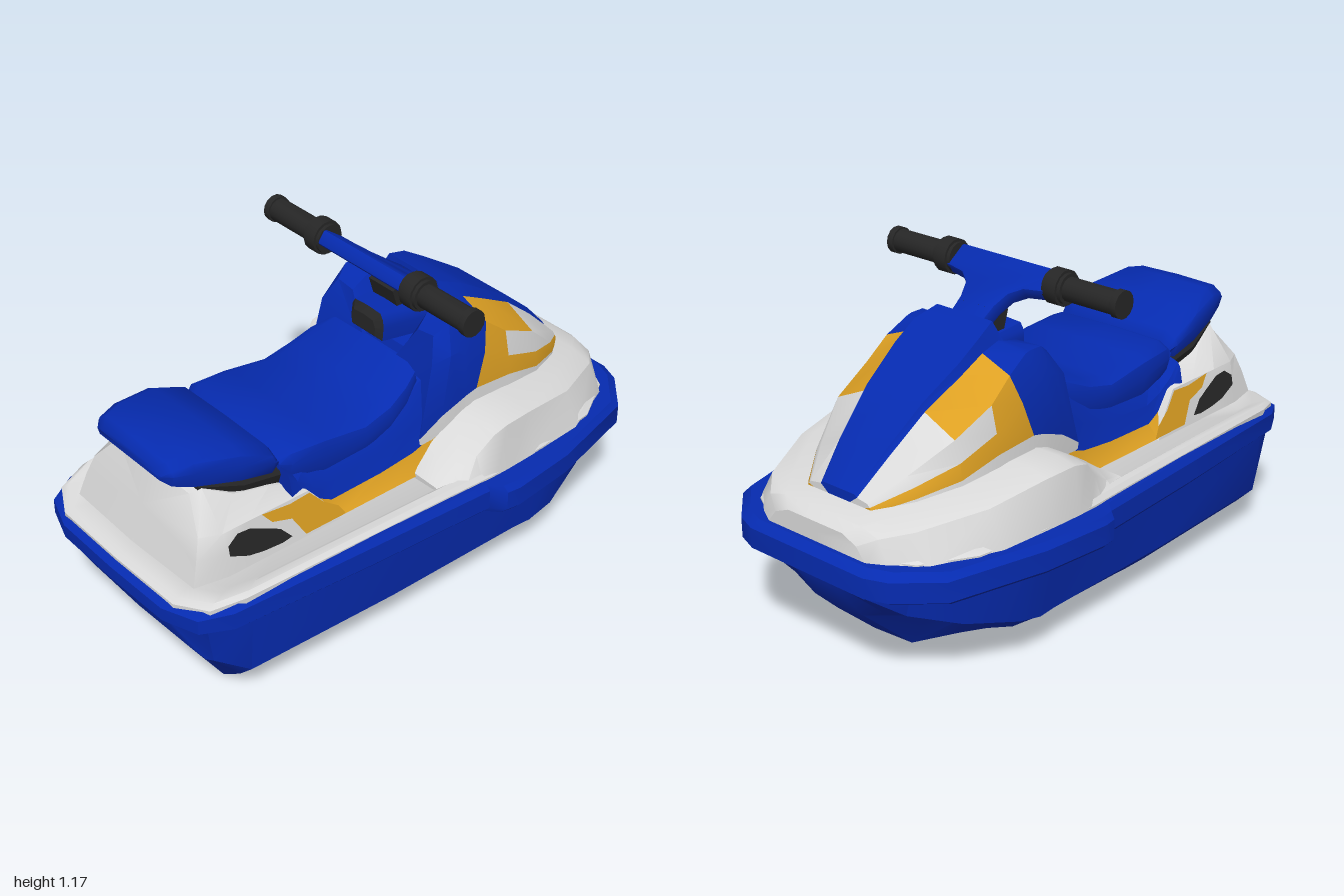
import * as THREE from 'three';
import { toCreasedNormals } from 'three/addons/utils/BufferGeometryUtils.js';

const paint = (name, color) => Object.assign(new THREE.MeshStandardMaterial({ color }), { name });

export function createModel() {
  const model = new THREE.Group();
  model.name = 'waterScooter';
  const blue = paint('blue', 0x062bb0);
  const white = paint('white', 0xdadada);
  const yellow = paint('yellow', 0xdda023);
  const black = paint('black', 0x262626);

  const add = (name, geometry, material) => {
    const mesh = new THREE.Mesh(geometry, material);
    mesh.name = name;
    model.add(mesh);
    return mesh;
  };

  // Skins half cross-sections (first and last point on x = 0), mirrored and capped.
  // pick(section, strip) chooses the material of each panel.
  function loft(name, halves, mats, pick = () => 0, crease = 0.6) {
    const n = halves[0].length - 1;
    const rings = halves.map(h => [...h, ...h.slice(1, -1).reverse().map(([x, y, z]) => [-x, y, z])]);
    const faces = mats.map(() => []);
    const strip = k => (k < n ? k : 2 * n - 1 - k);
    for (let i = 0; i < rings.length - 1; i++) {
      for (let k = 0; k < 2 * n; k++) {
        const l = (k + 1) % (2 * n), a = rings[i], b = rings[i + 1];
        faces[pick(i, strip(k))].push([a[k], a[l], b[l]], [a[k], b[l], b[k]]);
      }
    }
    for (const i of [0, rings.length - 1]) {
      const r = rings[i], c = r[0].map((v, d) => (v + r[n][d]) / 2);
      for (let k = 0; k < 2 * n; k++) {
        const l = (k + 1) % (2 * n);
        faces[pick(Math.min(i, rings.length - 2), strip(k))].push(i ? [r[k], r[l], c] : [r[l], r[k], c]);
      }
    }
    // Turn the skin outward if the rings run the other way
    const vec = p => new THREE.Vector3(...p);
    let volume = 0;
    for (const [a, b, c] of faces.flat()) volume += vec(a).dot(vec(b).cross(vec(c)));
    const geometry = new THREE.BufferGeometry();
    const data = [];
    faces.forEach((list, m) => {
      if (list.length) geometry.addGroup(data.length / 3, list.length * 3, m);
      for (const [a, b, c] of list) data.push(...(volume < 0 ? [a, c, b] : [a, b, c]).flat());
    });
    geometry.setAttribute('position', new THREE.Float32BufferAttribute(data, 3));
    return add(name, toCreasedNormals(geometry, crease), mats);
  }

  // Stacks one plan outline at several [height, scale] levels, its top edge dipping at the stern
  const stack = (outline, levels) => levels.map(([y, s]) =>
    outline.map(([x, z]) => [x * s, y - Math.max(0, z - 0.75) * (y - 0.34) * 1.3, z * s]));
  const at = (z, pts) => pts.map(([x, y]) => [x, y, z]);

  // Hull: top edge, chine, inner and bottom points; a narrow keel nose hangs below the undercut bow
  const hullRows = [
    [-0.95, 0.18, [0.16, 0.325], [0.11, 0.33], [0.07, 0.33], 0.33],
    [-0.87, 0.33, [0.3, 0.27], [0.2, 0.245], [0.11, 0.2], 0.19],
    [-0.72, 0.43, [0.4, 0.215], [0.25, 0.19], [0.17, 0.06], 0.05],
    [-0.53, 0.49, [0.46, 0.165], [0.29, 0.14], [0.2, 0.025], 0.015],
    [-0.43, 0.49, [0.46, 0.14], [0.33, 0.09], [0.23, 0.01], 0],
    [-0.36, 0.49, [0.455, 0.14], [0.37, 0.07], [0.28, 0.005], 0],
    [0.2, 0.475, [0.455, 0.14], [0.385, 0.07], [0.31, 0.005], 0],
    [0.78, 0.455, [0.435, 0.14], [0.37, 0.075], [0.28, 0.01], 0.003],
  ].map(([z, top, chine, inner, bottom, keel]) => at(z, [[0, 0.38], [top, 0.38], chine, inner, bottom, [0, keel]]));
  hullRows.push([[0, 0.38, 0.93], [0.4, 0.38, 0.92], [0.38, 0.2, 0.885], [0.345, 0.185, 0.89], [0.28, 0.185, 0.895], [0, 0.19, 0.905]]);
  loft('hull', hullRows, [blue]);

  // Bumper rail around the waterline
  const railOutline = [[0, -1], [0.25, -1], [0.33, -0.97], [0.46, -0.85], [0.55, -0.5], [0.577, -0.25],
    [0.57, -0.2], [0.525, -0.16], [0.5, 0.3], [0.455, 0.85], [0.4, 0.95], [0.27, 0.995], [0, 1]];
  loft('bumperRail', stack(railOutline, [[0.345, 0.965], [0.365, 1], [0.435, 1], [0.457, 0.97]]), [blue]);

  // Deck with a raised gunwale and shallow footwells
  const deckOutline = [[0, -0.95], [0.22, -0.94], [0.35, -0.87], [0.45, -0.7], [0.485, -0.45], [0.495, -0.2],
    [0.485, 0], [0.45, 0.8], [0.41, 0.91], [0.3, 0.97], [0, 0.975]];
  loft('deck', stack(deckOutline, [[0.43, 1], [0.462, 1], [0.478, 0.975], [0.478, 0.92], [0.46, 0.87]]), [white]);

  // Front cowl, ramping up from the footwells
  const cowl = [
    [-0.955, 0.12, 0.525, 0.18, 0.5, 0.22],
    [-0.92, 0.17, 0.55, 0.24, 0.53, 0.28],
    [-0.84, 0.23, 0.57, 0.32, 0.55, 0.38],
    [-0.62, 0.36, 0.605, 0.42, 0.58, 0.475],
    [-0.4, 0.39, 0.63, 0.455, 0.61, 0.49],
    [-0.28, 0.4, 0.635, 0.472, 0.62, 0.495],
    [-0.22, 0.39, 0.615, 0.472, 0.605, 0.495],
    [-0.16, 0.365, 0.58, 0.455, 0.54, 0.49],
    [-0.08, 0.345, 0.53, 0.44, 0.49, 0.488],
    [0, 0.33, 0.475, 0.43, 0.473, 0.485],
  ].map(([z, ix, iy, ox, oy, bx]) => at(z, [[0, iy], [ix, iy], [ox, oy], [bx, 0.45], [0, 0.45]]));
  loft('frontCowl', cowl, [white]);

  // Hood: panel, inner, shoulder, mid, low and base points; slant leans a section backward at its foot
  const hood = [
    [-0.15, [0.1, 0.8], [0.165, 0.9], [0.24, 0.91], [0.28, 0.83], [0.295, 0.57], 0.29, 0.1],
    [-0.2, [0.1, 0.81], [0.155, 0.94], [0.26, 0.945], [0.3, 0.85], [0.305, 0.63], 0.3, 0.06],
    [-0.255, [0.1, 0.83], [0.15, 0.95], [0.26, 0.945], [0.3, 0.85], [0.31, 0.66], 0.31, 0.04],
    [-0.275, [0.12, 1.015], [0.145, 0.955], [0.26, 0.94], [0.3, 0.85], [0.31, 0.67], 0.31, 0.03],
    [-0.36, [0.14, 0.985], [0.155, 0.94], [0.27, 0.895], [0.3, 0.8], [0.31, 0.68], 0.32, 0.07],
    [-0.45, [0.14, 0.93], [0.153, 0.895], [0.275, 0.825], [0.296, 0.735], [0.305, 0.665], 0.32, 0],
    [-0.6, [0.12, 0.835], [0.132, 0.81], [0.258, 0.752], [0.28, 0.68], [0.288, 0.625], 0.3, 0],
    [-0.74, [0.095, 0.715], [0.107, 0.695], [0.19, 0.66], [0.216, 0.628], [0.228, 0.595], 0.24, 0],
    [-0.85, [0.07, 0.6], [0.08, 0.592], [0.125, 0.585], [0.135, 0.575], [0.145, 0.56], 0.15, 0],
  ].map(([z, p, i, s, m, l, b, slant]) => [
    ...at(z, [[0, p[1]], p, i, s]), [...m, z + slant * 0.4], ...at(z + slant, [l, [b, 0.46], [0, 0.46]])]);
  loft('hood', hood, [blue, white, yellow], (i, j) => {
    if (j < 2) return 0;
    if (j > 4) return 1;
    if (i < 4) return 0;
    if (j === 2) return i < 6 ? 2 : 1;
    if (j === 3) return i < 5 ? 2 : 1;
    return 2;
  });

  // Saddle base: blue sides sweeping down to a yellow sill
  const saddle = [
    [-0.2, 0.78, 0.62], [-0.1, 0.76, 0.555], [-0.02, 0.72, 0.53], [0.12, 0.66, 0.515],
    [0.33, 0.64, 0.51], [0.4, 0.65, 0.55], [0.46, 0.66, 0.62], [0.5, 0.7, 0.67],
  ].map(([z, top, seam]) => at(z, [[0, top], [0.24, top], [0.285, (top + seam) / 2], [0.295, seam], [0.335, 0.465], [0, 0.46]]));
  loft('saddleBase', saddle, [blue, yellow], (i, j) => (j === 3 && i < 5 ? 1 : 0));

  // Tail body, its front edge leaning with the saddle
  const tailRow = (top, w, zs) => [[0, top], [w, top], [0.312, 0.61], [0.325, 0.54], [0.34, 0.46], [0, 0.46]]
    .map(([x, y], k) => [x, y, zs[k]]);
  loft('tailBody', [
    tailRow(0.62, 0.25, [0.47, 0.47, 0.44, 0.38, 0.33, 0.33]),
    tailRow(0.645, 0.25, Array(6).fill(0.55)),
    tailRow(0.675, 0.24, Array(6).fill(0.68)),
    tailRow(0.73, 0.215, Array(6).fill(0.78)),
    [[0, 0.715, 0.815], [0.19, 0.71, 0.81], [0.28, 0.61, 0.85], [0.3, 0.54, 0.875], [0.315, 0.46, 0.9], [0, 0.46, 0.91]],
  ], [white]);

  // Flashes and vents lying on the tail flanks, drawn as [z, y]
  const decals = [
    ['flash', yellow, 0.344, [[0.63, 0.612], [0.595, 0.57], [0.52, 0.548], [0.475, 0.472], [0.31, 0.472], [0.335, 0.512],
      [0.39, 0.55], [0.44, 0.605], [0.52, 0.6]]],
    ['vent', black, 0.346, [[0.77, 0.565], [0.73, 0.592], [0.68, 0.588], [0.62, 0.56], [0.57, 0.535], [0.53, 0.49],
      [0.57, 0.485], [0.64, 0.49], [0.7, 0.5], [0.77, 0.53]]],
  ];
  for (const [name, material, foot, outline] of decals) {
    for (const side of [1, -1]) {
      const points = outline.map(([z, y]) => new THREE.Vector2(-side * z, y));
      const plate = new THREE.ShapeGeometry(new THREE.Shape(points));
      const pos = plate.attributes.position;
      for (let i = 0; i < pos.count; i++) {
        const y = pos.getY(i);
        pos.setXYZ(i, side * (foot - (y - 0.46) * 0.185), y, -side * pos.getX(i));
      }
      plate.computeVertexNormals();
      add(side > 0 ? `${name}Left` : `${name}Right`, plate, material);
    }
  }

  // Seat cushions
  const pad = ([z, w, top, bot]) => at(z, [[0, top], [w * 0.8, top - 0.004], [w * 0.96, top - 0.025],
    [w, (top + bot) / 2], [w * 0.94, bot], [0, bot]]);
  loft('frontSeat', [[-0.09, 0.23, 0.81, 0.7], [-0.03, 0.255, 0.785, 0.66], [0.05, 0.27, 0.75, 0.62],
    [0.16, 0.275, 0.725, 0.6], [0.33, 0.275, 0.75, 0.6], [0.47, 0.27, 0.76, 0.64], [0.505, 0.25, 0.745, 0.67]].map(pad),
  [blue], undefined, 0.8);
  loft('rearSeat', [[0.5, 0.245, 0.74, 0.69], [0.53, 0.26, 0.78, 0.685], [0.65, 0.255, 0.83, 0.71],
    [0.8, 0.22, 0.855, 0.74], [0.87, 0.2, 0.845, 0.765], [0.895, 0.17, 0.82, 0.785]].map(pad),
  [blue], undefined, 0.8);
  loft('seatMount', [[0.49, 0.25, 0.71, 0.62], [0.64, 0.245, 0.74, 0.64], [0.79, 0.212, 0.77, 0.7]].map(pad), [black]);

  // Dashboard pod with a black face, and the steering column behind it
  loft('dashboard', [[-0.055, 0.06, 0.92, 0.86], [-0.075, 0.08, 0.945, 0.84], [-0.26, 0.1, 0.94, 0.82]].map(pad),
    [black, blue], i => (i < 1 ? 0 : 1));
  const column = add('steeringColumn', new THREE.BoxGeometry(0.12, 0.14, 0.1), black);
  column.position.set(0, 0.95, -0.2);
  column.rotation.x = 0.3;

  // Handlebar yoke, leaning down toward the hood
  const half = [[0.22, 0.042], [0.22, -0.03], [0.13, -0.045], [0.085, -0.08], [0.065, -0.14], [0.06, -0.215]];
  const yokeShape = new THREE.Shape([...half, ...half.map(([x, y]) => [-x, y]).reverse()].map(p => new THREE.Vector2(...p)));
  const yokeGeometry = new THREE.ExtrudeGeometry(yokeShape,
    { depth: 0.03, bevelEnabled: true, bevelSize: 0.01, bevelThickness: 0.012, bevelSegments: 2 });
  yokeGeometry.translate(0, 0, -0.015);
  const yoke = add('handlebarYoke', toCreasedNormals(yokeGeometry, 0.7), blue);
  yoke.position.set(0, 1.1, -0.085);
  yoke.rotation.x = 0.95;

  // Grips: collar, handle and end flange on each side
  for (const side of [1, -1]) {
    for (const [name, x, length, radius] of [['gripCollarRim', 0.238, 0.076, 0.052], ['gripCollar', 0.238, 0.05, 0.061],
      ['grip', 0.38, 0.22, 0.041], ['gripEnd', 0.483, 0.025, 0.047]]) {
      const part = add(name, toCreasedNormals(new THREE.CylinderGeometry(radius, radius, length, 14), 0.6), black);
      part.rotation.z = Math.PI / 2;
      part.position.set(side * x, 1.106, -0.08);
    }
  }
  return model;
}
